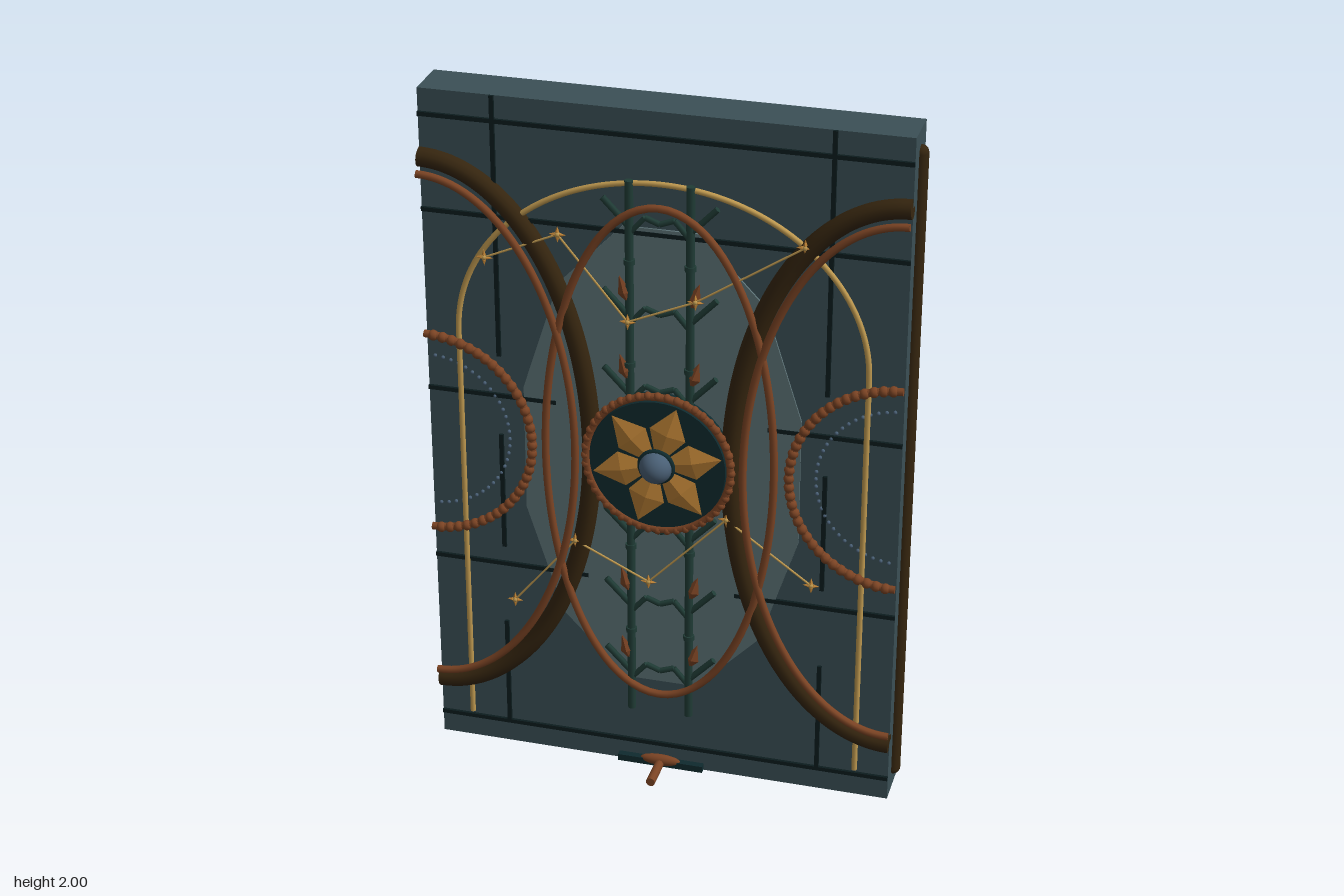
import * as THREE from 'three';
import { mergeGeometries } from 'three/addons/utils/BufferGeometryUtils.js';

const material = (name, color, side = THREE.FrontSide) => {
  const m = new THREE.MeshStandardMaterial({ color, side });
  m.name = name;
  return m;
};
const V = (x, y, z) => new THREE.Vector3(x, y, z);
const FACE = 0.03; // front surface of the slab

export function createModel() {
  const slate = material('slate', 0x3b5056);
  const glass = material('pale slate', 0x5d7377);
  const seamDark = material('seam black', 0x0c1c1e);
  const teal = material('dark teal', 0x0f2a2e);
  const green = material('stem green', 0x203c36);
  const bronze = material('dark bronze', 0x35250f);
  const copper = material('copper', 0x7c4424);
  const gold = material('gold', 0xc09a50);
  const amber = material('amber', 0xbd8236, THREE.DoubleSide);
  const steel = material('blue steel', 0x4a6076);

  const root = new THREE.Group();
  root.name = 'door';
  const add = (name, geometry, mat, x = 0, y = 0, z = 0) => {
    const mesh = new THREE.Mesh(geometry, mat);
    mesh.name = name;
    mesh.position.set(x, y, z);
    root.add(mesh);
    return mesh;
  };

  // points along an elliptical arc
  const arc = (cx, cy, z, rx, ry, a0, a1, n = 48) =>
    Array.from({ length: n + 1 }, (_, i) => {
      const a = a0 + (a1 - a0) * i / n;
      return V(cx + rx * Math.cos(a), cy + ry * Math.sin(a), z);
    });

  // smooth tube with flat end caps
  const tube = (points, r, closed = false, segs = 96, sides = 8) => {
    const curve = new THREE.CatmullRomCurve3(points, closed);
    const parts = [new THREE.TubeGeometry(curve, segs, r, sides, closed)];
    if (!closed) for (const t of [0, 1]) {
      const dir = curve.getTangent(t).multiplyScalar(t ? 1 : -1);
      const cap = new THREE.CircleGeometry(r, sides);
      cap.applyQuaternion(new THREE.Quaternion().setFromUnitVectors(V(0, 0, 1), dir));
      const p = curve.getPoint(t);
      parts.push(cap.translate(p.x, p.y, p.z));
    }
    return mergeGeometries(parts);
  };

  // straight rod between two points
  const rod = (a, b, r, sides = 6) => {
    const d = b.clone().sub(a);
    const g = new THREE.CylinderGeometry(r, r, d.length(), sides);
    g.applyQuaternion(new THREE.Quaternion().setFromUnitVectors(V(0, 1, 0), d.normalize()));
    const m = a.clone().add(b).multiplyScalar(0.5);
    return g.translate(m.x, m.y, m.z);
  };
  const path = (pts, r) => mergeGeometries(pts.slice(1).map((p, i) => rod(pts[i], p, r)));
  const beads = (pts, r) => mergeGeometries(pts.map(p =>
    new THREE.SphereGeometry(r, 8, 6).translate(p.x, p.y, p.z)));

  // ridged diamond lying in the xy plane, pointing along +x from the origin
  const diamond = (length, halfWidth, widest, height) => {
    const tip = [length, 0, 0], base = [0, 0, 0], top = [length * widest, 0, height];
    const l = [length * widest, halfWidth, 0], r = [length * widest, -halfWidth, 0];
    const g = new THREE.BufferGeometry();
    g.setAttribute('position', new THREE.Float32BufferAttribute(
      [base, r, top, r, tip, top, tip, l, top, l, base, top].flat(), 3));
    g.computeVertexNormals();
    return g;
  };

  // slab and oval inlay
  add('slab', new THREE.BoxGeometry(1.32, 2, 0.135), slate, 0, 1, -0.0375);
  const inlay = new THREE.CylinderGeometry(1, 1, 0.006, 12);
  inlay.rotateX(Math.PI / 2).rotateZ(Math.PI / 12).scale(0.4, 0.72, 1);
  add('ovalInlay', inlay, glass, 0, 0.98, FACE + 0.003);

  // panel seams
  const seam = (x0, x1, y0, y1) => add('seam',
    new THREE.BoxGeometry(Math.max(x1 - x0, 0.012), Math.max(y1 - y0, 0.012), 0.008),
    seamDark, (x0 + x1) / 2, (y0 + y1) / 2, FACE + 0.004);
  for (const y of [1.93, 1.66, 0.07]) seam(-0.66, 0.66, y, y);
  for (const [y, inner] of [[1.13, 0.295], [0.6, 0.21]]) {
    seam(-0.66, -inner, y, y);
    seam(inner, 0.66, y, y);
  }
  for (const x of [-0.455, 0.455])
    for (const [a, b] of [[1.25, 2], [0.655, 1.01], [0.07, 0.41]]) seam(x, x, a, b);

  // side rails and half rings that meet the slab edges
  for (const s of [-1, 1]) {
    const rail = new THREE.CapsuleGeometry(0.021, 1.87, 6, 12);
    add('edgeRail', rail, bronze, s * 0.661, 1, -0.04);
    const half = (z, rx, ry, n) => arc(s * 0.66, 1, z, -s * rx, ry, -Math.PI / 2, Math.PI / 2, n);
    add('largeHalfRing', tube(half(0.036, 0.465, 0.81), 0.027, false, 96, 12), bronze);
    add('innerHalfRing', tube(half(0.062, 0.425, 0.77), 0.011), copper);
    add('smallHalfRing', tube(half(0.052, 0.3, 0.3), 0.011), copper);
    add('smallRingBeads', beads(half(0.054, 0.3, 0.3, 36).slice(1, -1), 0.015), copper);
    add('dottedHalfRing', beads(half(0.036, 0.23, 0.23, 32).slice(1, -1), 0.0055), steel);
  }

  // central oval ring and gold arch
  add('ovalRing', tube(arc(0, 1, 0.058, 0.32, 0.745, 0, Math.PI * 2, 64).slice(0, -1),
    0.011, true, 128), copper);
  const arch = [0.09, 0.5, 0.9, 1.2].map(y => V(0.565, y, 0.04));
  add('goldArch', tube([...arch, ...arc(0, 1.32, 0.04, 0.565, 0.485, 0, Math.PI),
    ...arch.map(p => V(-p.x, p.y, p.z)).reverse()], 0.008, false, 200), gold);

  // twin stems with knots, branches and leaves
  const STEM = 0.045;
  const leafAt = (x, y, angle) => {
    const leaf = add('leaf', mergeGeometries([
      diamond(0.085, 0.02, 0.4, 0.012),
      diamond(0.085, 0.02, 0.4, 0.012).rotateX(Math.PI)]), copper, x, y, STEM + 0.006);
    leaf.rotation.z = angle;
  };
  for (const s of [-1, 1]) {
    add('stem', rod(V(s * 0.083, 0.19, STEM), V(s * 0.083, 1.81, STEM), 0.012, 8), green);
    for (const y of [0.45, 0.72, 1.28, 1.58])
      add('stemKnot', new THREE.CylinderGeometry(0.016, 0.016, 0.014, 8), green, s * 0.083, y, STEM);
    for (const y of [0.31, 0.53, 0.76, 1.19, 1.42, 1.68]) {
      add('branch', rod(V(s * 0.083, y, STEM), V(s * 0.155, y + 0.075, STEM), 0.009), green);
      add('twig', path([V(s * 0.083, y - 0.02, STEM), V(s * 0.04, y + 0.03, STEM),
        V(0, y + 0.015, STEM)], 0.008), green);
      if (y < 1.6) leafAt(s * 0.083, y + 0.04, s > 0 ? 1.25 : Math.PI - 1.25);
    }
  }

  // thin gold star chains
  const chains = [
    [[-0.48, 1.55], [-0.275, 1.64], [-0.085, 1.41], [0.1, 1.49], [0.39, 1.68]],
    [[-0.42, 0.5], [-0.24, 0.72], [-0.03, 0.62], [0.19, 0.85], [0.43, 0.68]],
  ];
  for (const chain of chains) {
    const pts = chain.map(([x, y]) => V(x, y, 0.058));
    add('starChain', path(pts, 0.003), gold);
    for (const p of pts) {
      const star = [0, 1, 2, 3].map(i => diamond(0.024, 0.006, 0.3, 0.006).rotateZ(i * Math.PI / 2));
      add('star', mergeGeometries(star), amber, p.x, p.y, p.z);
      add('starCore', new THREE.SphereGeometry(0.008, 8, 6), gold, p.x, p.y, p.z);
    }
  }

  // central medallion
  const disc = new THREE.CylinderGeometry(0.19, 0.205, 0.045, 48).rotateX(Math.PI / 2);
  add('medallionDisc', disc, teal, 0, 1, 0.0525);
  add('medallionRim', new THREE.TorusGeometry(0.202, 0.011, 8, 64), copper, 0, 1, 0.066);
  add('rimBeads', beads(arc(0, 1, 0.068, 0.205, 0.205, 0, Math.PI * 2, 48).slice(0, -1), 0.012), copper);
  for (let i = 0; i < 6; i++) {
    const petal = add('petal', diamond(0.185, 0.052, 0.55, 0.012), amber, 0, 1, 0.076);
    petal.rotation.z = (13 + i * 60) * Math.PI / 180;
  }
  add('bossCollar', new THREE.TorusGeometry(0.045, 0.008, 8, 32), teal, 0, 1, 0.083);
  add('boss', new THREE.SphereGeometry(0.046, 24, 16), steel, 0, 1, 0.084);

  // foot plates with a front peg and a flat rear half ring
  add('frontFootPlate', new THREE.BoxGeometry(0.25, 0.02, 0.02), teal, 0, 0.012, 0.04);
  add('footPeg', rod(V(0, 0.014, 0.03), V(0, 0.014, 0.15), 0.013, 10), copper);
  add('frontFootMound', new THREE.SphereGeometry(0.06, 20, 10)
    .scale(1, 0.28, 0.25), copper, 0, 0.02, 0.042);
  add('rearFootPlate', new THREE.BoxGeometry(0.25, 0.02, 0.022), teal, 0, 0.012, -0.114);
  add('rearHalfRing', new THREE.TorusGeometry(0.055, 0.007, 8, 32, Math.PI)
    .rotateX(-Math.PI / 2), copper, 0, 0.022, -0.09);
  add('rearHalfDisc', new THREE.CylinderGeometry(0.052, 0.052, 0.01, 32), steel, 0, 0.022, -0.09);
  return root;
}
